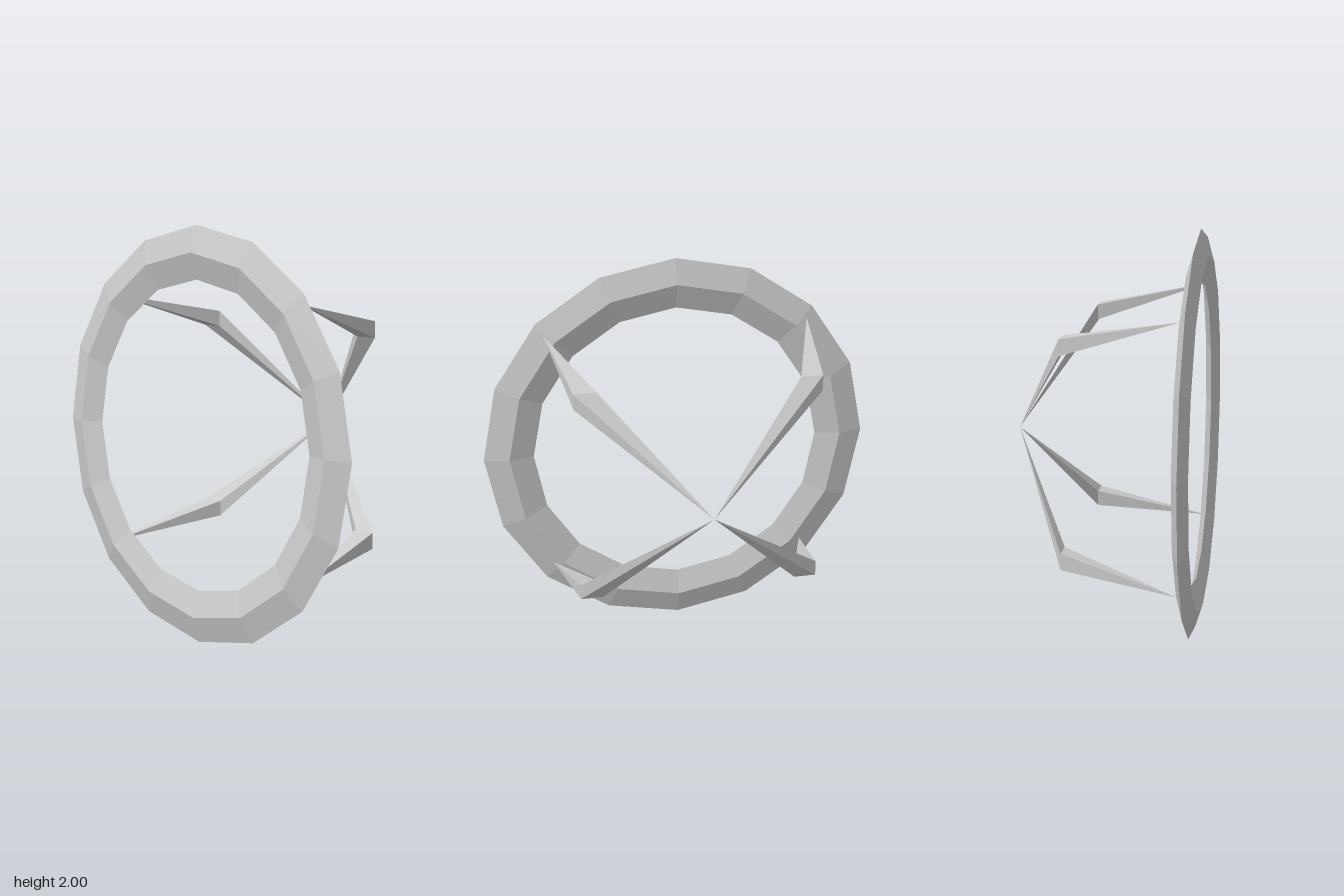
import * as THREE from 'three';

const material = new THREE.MeshStandardMaterial({ color: 0xcccccc, flatShading: true });

// Bent spike: pointed at both ends, with a rectangular knuckle facing z in the middle.
function createStrut(front, knuckle, back, halfW, halfH) {
  const corners = [[-1, -1], [1, -1], [1, 1], [-1, 1]].map(([u, v]) =>
    [knuckle[0] + u * halfW, knuckle[1] + v * halfH, knuckle[2]]);
  const positions = [];
  for (let i = 0; i < 4; i++) {
    const a = corners[i];
    const b = corners[(i + 1) % 4];
    positions.push(...a, ...b, ...front, ...b, ...a, ...back);
  }
  const geometry = new THREE.BufferGeometry();
  geometry.setAttribute('position', new THREE.Float32BufferAttribute(positions, 3));
  geometry.computeVertexNormals();
  return new THREE.Mesh(geometry, material);
}

export function createModel() {
  const model = new THREE.Group();
  model.name = 'ringWithStruts';

  // Sixteen-sided ring with a flattened diamond section
  const tube = 0.127;
  const ringGeometry = new THREE.TorusGeometry(1 - tube, tube, 4, 16);
  ringGeometry.scale(1, 1, 0.0375 / tube);
  const ring = new THREE.Mesh(ringGeometry, material);
  ring.name = 'ring';
  ring.position.set(0, 1, 0.428);
  model.add(ring);

  // Four struts from the ring to one point behind it
  const tip = [0, 1.003, -0.465];
  const rows = [
    { name: 'upper', ringY: 1.655, kneeY: 1.516 },
    { name: 'lower', ringY: 0.39, kneeY: 0.508 },
  ];
  for (const { name, ringY, kneeY } of rows) {
    for (const side of [1, -1]) {
      const strut = createStrut(
        [side * 0.673, ringY, 0.405], [side * 0.545, kneeY, -0.15], tip, 0.055, 0.039);
      strut.name = `${name}${side > 0 ? 'Left' : 'Right'}Strut`;
      model.add(strut);
    }
  }
  return model;
}
